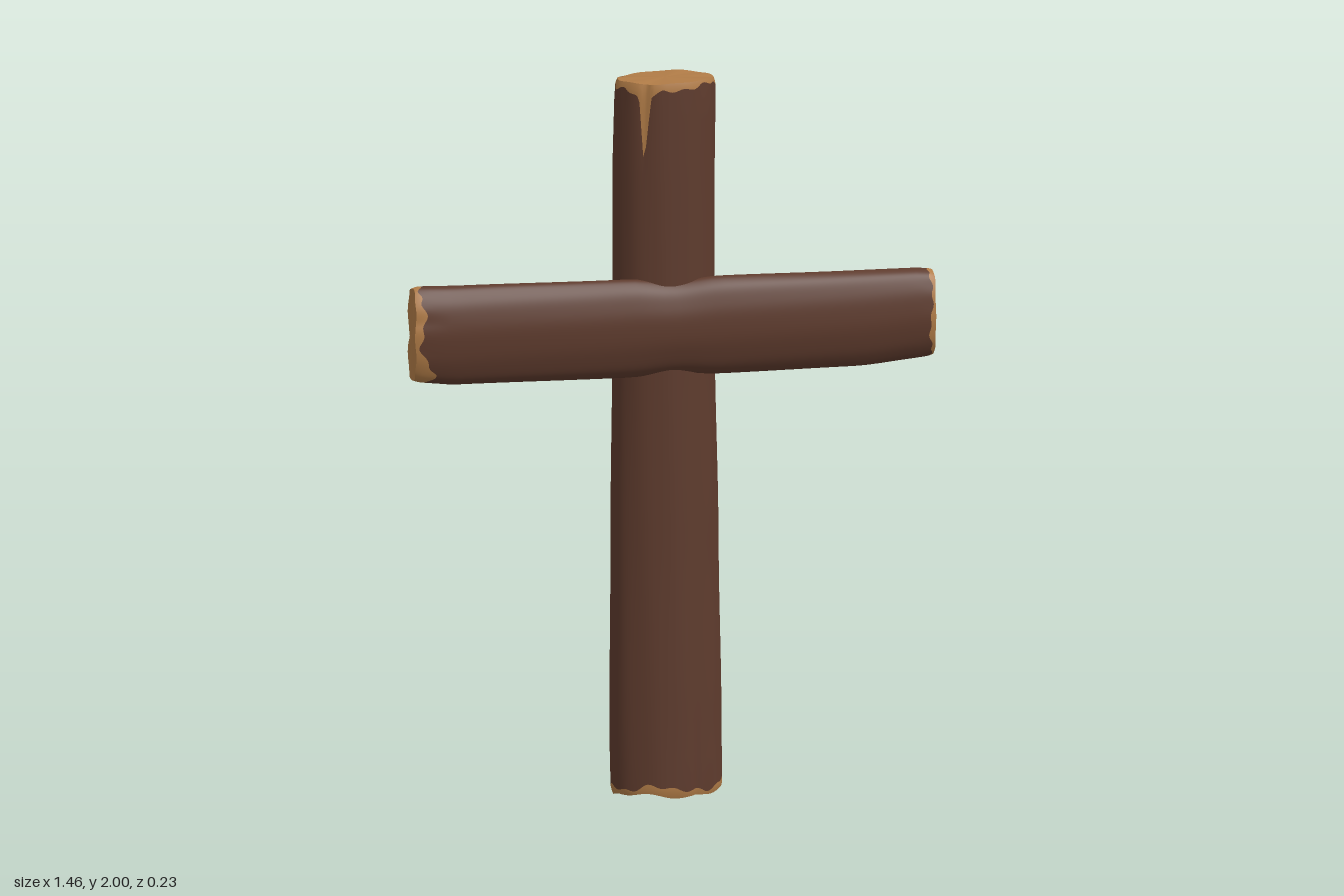
import * as THREE from 'three';

const SEG = 120;
const bark = new THREE.MeshStandardMaterial({ color: 0x5e3b2d });
bark.name = 'bark';
const wood = new THREE.MeshStandardMaterial({ color: 0xb17c47 });
wood.name = 'cut wood';

// signed smallest difference between two angles
const turn = (a, b) => Math.atan2(Math.sin(a - b), Math.cos(a - b));

// skin a stack of closed rings, each a function of the angle
function skin(rings, material, name) {
  const pos = [], index = [];
  for (const ring of rings)
    for (let j = 0; j < SEG; j++) pos.push(...ring((j / SEG) * Math.PI * 2));
  for (let i = 0; i < rings.length - 1; i++)
    for (let j = 0; j < SEG; j++) {
      const k = (j + 1) % SEG;
      const a = i * SEG + j, b = a + SEG, c = i * SEG + k, d = c + SEG;
      index.push(a, b, c, b, d, c);
    }
  const g = new THREE.BufferGeometry();
  g.setAttribute('position', new THREE.Float32BufferAttribute(pos, 3));
  g.setIndex(index);
  g.computeVertexNormals();
  const mesh = new THREE.Mesh(g, material);
  mesh.name = name;
  return mesh;
}

// A log along y. rows: [y, xMin, xMax, zMin, zMax].
// Each end: wave (uneven cut), rim (bare edge), streaks [angle, width, length],
// grooves [angle, width, depth, length].
function makeLog(name, rows, low, high) {
  const group = new THREE.Group();
  group.name = name;
  const y0 = rows[0][0], y1 = rows[rows.length - 1][0];

  const section = (y) => {
    let i = 0;
    while (i < rows.length - 2 && y > rows[i + 1][0]) i++;
    const t = THREE.MathUtils.clamp((y - rows[i][0]) / (rows[i + 1][0] - rows[i][0]), 0, 1);
    const s = t * t * (3 - 2 * t);
    return rows[i].map((v, k) => v + (rows[i + 1][k] - v) * s);
  };

  const point = (y, q, scale = 1) => {
    const [, xa, xb, za, zb] = section(y);
    let r = scale;
    for (const [end, d] of [[low, y - y0], [high, y1 - y]]) {
      const near = 1 - Math.min(Math.max(d, 0) / 0.035, 1);
      r *= 1 - 0.06 * near * near;
      for (const [a, w, depth, len] of end.grooves)
        r *= 1 - depth * Math.exp(-((turn(q, a) / w) ** 2)) * Math.max(0, 1 - Math.max(d, 0) / len);
    }
    r *= 1 + 0.006 * Math.sin(5 * q + 2 * y) + 0.004 * Math.sin(11 * q - 3 * y);
    return [(xa + xb) / 2 + (r * (xb - xa) / 2) * Math.cos(q), y,
      (za + zb) / 2 + (r * (zb - za) / 2) * Math.sin(q)];
  };

  // uneven cut edge, and how far the bare wood reaches from it
  const cut = (e, q) => e.wave * (1 + 0.6 * Math.sin(3 * q + e.phase) + 0.4 * Math.sin(7 * q));
  const bare = (e, q) => e.streaks.reduce(
    (sum, [a, w, len]) => sum + len * Math.max(0, 1 - Math.abs(turn(q, a)) / w),
    e.rim * (1 + 0.35 * Math.sin(4 * q + e.phase) + 0.25 * Math.sin(13 * q)));
  const yLow = (q, t) => y0 + cut(low, q) + t * bare(low, q);
  const yHigh = (q, t) => y1 - cut(high, q) - t * bare(high, q);

  // bark between the two bare edges
  const body = [];
  for (let i = 0; i <= 40; i++)
    body.push((q) => point(THREE.MathUtils.lerp(yLow(q, 1), yHigh(q, 1), i / 40), q));
  group.add(skin(body, bark, 'bark'));

  // bare wood rims and the end faces
  const steps = [0, 0.15, 0.35, 0.6, 0.8, 1];
  group.add(skin(steps.map((t) => (q) => point(yLow(q, t), q)), wood, 'lowRim'));
  group.add(skin([...steps].reverse().map((t) => (q) => point(yHigh(q, t), q)), wood, 'highRim'));
  const face = (yEdge, yMid) => [1, 0.85, 0.5, 0].map((s) => (q) => {
    const p = point(yEdge(q, 0), q, s);
    p[1] = THREE.MathUtils.lerp(yMid, p[1], s * s);
    return p;
  });
  group.add(skin(face(yLow, y0 + low.wave).reverse(), wood, 'lowEnd'));
  group.add(skin(face(yHigh, y1 - high.wave * 0.5), wood, 'highEnd'));
  return group;
}

export function createModel() {
  const model = new THREE.Group();
  model.name = 'woodenCross';

  // upright log
  model.add(makeLog('upright', [
    [0, -0.158, 0.152, -0.112, 0.085],
    [0.2, -0.161, 0.15, -0.113, 0.084],
    [0.7, -0.157, 0.143, -0.112, 0.081],
    [1.3, -0.15, 0.133, -0.112, 0.079],
    [1.7, -0.15, 0.133, -0.112, 0.078],
    [2, -0.145, 0.136, -0.108, 0.076],
  ], {
    wave: 0.009, phase: 1, rim: 0.02,
    streaks: [[5.2, 0.65, 0.06]],
    grooves: [[1.1, 0.06, 0.06, 0.25]],
  }, {
    wave: 0.003, phase: 2, rim: 0.016,
    streaks: [[2.2, 0.45, 0.035], [2.13, 0.13, 0.18]],
    grooves: [[2.13, 0.08, 0.05, 0.25], [3.5, 0.07, 0.16, 0.12]],
  }));

  // crossbeam: built upright around its own centre, then laid along x (its x becomes -y)
  const beam = makeLog('crossbeam', [
    [-0.735, -0.142, 0.126, 0, 0.113],
    [-0.6, -0.138, 0.137, 0, 0.113],
    [-0.13, -0.133, 0.14, -0.001, 0.112],
    [0, -0.122, 0.132, -0.001, 0.112],
    [0.13, -0.132, 0.14, 0, 0.112],
    [0.5, -0.128, 0.138, 0, 0.11],
    [0.73, -0.127, 0.122, 0, 0.108],
  ], {
    wave: 0.004, phase: 0, rim: 0.02,
    streaks: [[0.7, 0.6, 0.035], [4.85, 0.12, 0.17], [5.9, 0.2, 0.03]],
    grooves: [[4.85, 0.11, 0.22, 0.35], [1.9, 0.15, 0.06, 0.1]],
  }, {
    wave: 0.002, phase: 3, rim: 0.012,
    streaks: [[5.2, 0.12, 0.13], [3.6, 0.06, 0.07]],
    grooves: [[5.2, 0.1, 0.14, 0.3]],
  });
  beam.rotation.z = -Math.PI / 2;
  beam.position.y = 1.32;
  model.add(beam);
  return model;
}
